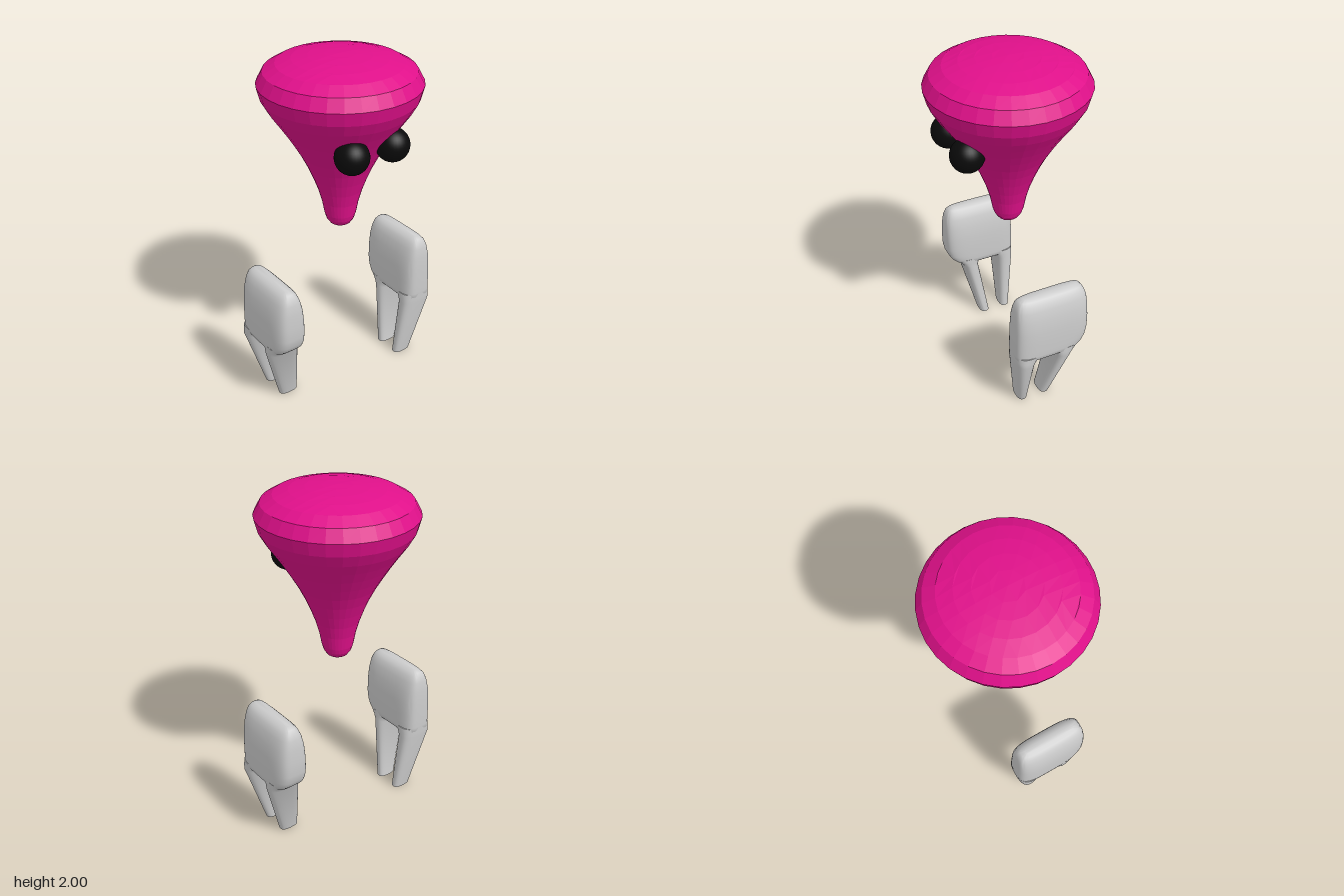
import * as THREE from 'three';
import { toCreasedNormals } from 'three/addons/utils/BufferGeometryUtils.js';

const grey = new THREE.MeshStandardMaterial({ color: 0xcccccc });
const pink = new THREE.MeshStandardMaterial({ color: 0xe0108a, flatShading: true });
const black = new THREE.MeshStandardMaterial({ color: 0x0a0a0a });

function addMesh(parent, name, geometry, material) {
  const mesh = new THREE.Mesh(geometry, material);
  mesh.name = name;
  parent.add(mesh);
  return mesh;
}

// Skin rounded-rectangle rings [y, x0, x1, z0, z1], listed from top to bottom, closed at both ends.
function loft(rings, power, sides = 32) {
  const pos = [], index = [];
  const bend = (v) => Math.sign(v) * Math.pow(Math.abs(v), power);
  for (const [y, x0, x1, z0, z1] of rings) {
    for (let i = 0; i < sides; i++) {
      const t = (i / sides) * Math.PI * 2;
      pos.push((x0 + x1) / 2 + bend(Math.cos(t)) * (x1 - x0) / 2, y,
        (z0 + z1) / 2 + bend(Math.sin(t)) * (z1 - z0) / 2);
    }
  }
  const last = rings.length - 1;
  for (const r of [0, last]) {
    const [y, x0, x1, z0, z1] = rings[r];
    pos.push((x0 + x1) / 2, y, (z0 + z1) / 2);
  }
  const top = rings.length * sides;
  for (let i = 0; i < sides; i++) {
    const j = (i + 1) % sides;
    for (let r = 0; r < last; r++) {
      const a = r * sides + i, b = r * sides + j;
      index.push(a, b, a + sides, b, b + sides, a + sides);
    }
    index.push(top, j, i, top + 1, last * sides + i, last * sides + j);
  }
  const g = new THREE.BufferGeometry();
  g.setAttribute('position', new THREE.Float32BufferAttribute(pos, 3));
  g.setIndex(index);
  return toCreasedNormals(g, 0.7);
}

// Wrap a gridded box around a turned profile, so that the crown keeps a square grid of facets.
function headGeometry() {
  const profile = new THREE.CatmullRomCurve3([
    [0, 1], [0.045, 1.012], [0.077, 1.05], [0.112, 1.2], [0.19, 1.4], [0.3, 1.59], [0.4, 1.74],
    [0.438, 1.83], [0.425, 1.885], [0.375, 1.935], [0.26, 1.975], [0.13, 1.994], [0, 2],
  ].map(([r, y]) => new THREE.Vector3(r, y, 0)));
  const low = 0.09, high = 0.77;
  const g = new THREE.BoxGeometry(2, 2, 2, 8, 13, 8);
  const p = g.attributes.position;
  for (let i = 0; i < p.count; i++) {
    const u = p.getX(i), v = p.getY(i), w = p.getZ(i);
    const m = Math.max(Math.abs(u), Math.abs(w));
    let s = low + (high - low) * (v + 1) / 2;
    if (v < -0.999) s = low * m;
    if (v > 0.999) s = 1 - (1 - high) * m;
    let angle = 0;
    if (m > 0) {
      angle = Math.abs(u) >= Math.abs(w)
        ? Math.PI / 4 * w / u + (u < 0 ? Math.PI : 0)
        : Math.PI / 2 - Math.PI / 4 * u / w + (w < 0 ? Math.PI : 0);
    }
    const q = profile.getPointAt(THREE.MathUtils.clamp(s, 0, 1));
    const r = m > 0 ? q.x : 0;
    p.setXYZ(i, r * Math.cos(angle), q.y, r * Math.sin(angle));
  }
  g.computeVertexNormals();
  return g;
}

// A slab-like block standing on two tapered legs that lean inward.
function makeLegBlock(name) {
  const block = new THREE.Group();
  block.name = name;
  const mid = 0.467;
  const body = [
    [0.815, -0.155, 0.16, 0.018], [0.805, -0.18, 0.185, 0.04], [0.785, -0.195, 0.2, 0.058],
    [0.75, -0.205, 0.212, 0.073], [0.69, -0.212, 0.219, 0.088], [0.61, -0.215, 0.222, 0.096],
    [0.53, -0.217, 0.221, 0.098], [0.48, -0.217, 0.212, 0.098], [0.445, -0.217, 0.194, 0.098],
    [0.42, -0.216, 0.168, 0.096], [0.408, -0.208, 0.14, 0.085],
  ].map(([y, x0, x1, h]) => [y, x0, x1, mid - h, mid + h]);
  addMesh(block, 'body', loft(body, 0.5, 48), grey);

  addMesh(block, 'outerLeg', loft([
    [0.44, -0.217, -0.06, 0.37, 0.564], [0.405, -0.216, -0.085, 0.37, 0.564],
    [0.375, -0.215, -0.102, 0.369, 0.563], [0, -0.165, -0.105, 0.338, 0.452],
  ], 0.75), grey);
  addMesh(block, 'innerLeg', loft([
    [0.44, -0.015, 0.18, 0.37, 0.564], [0.405, 0.008, 0.145, 0.37, 0.564],
    [0.375, 0.022, 0.122, 0.369, 0.563], [0, -0.025, 0.037, 0.338, 0.452],
  ], 0.75), grey);
  return block;
}

export function createModel() {
  const model = new THREE.Group();
  model.name = 'floatingHeadFigure';

  addMesh(model, 'head', headGeometry(), pink);

  // Eyes, half sunk into the +x side of the head
  for (const [name, z] of [['frontEye', 0.137], ['backEye', -0.125]]) {
    addMesh(model, name, new THREE.SphereGeometry(0.092, 32, 20), black).position.set(0.284, 1.562, z);
  }

  // Leg blocks, the back one turned half round
  model.add(makeLegBlock('frontLegs'));
  const back = makeLegBlock('backLegs');
  back.rotation.y = Math.PI;
  back.position.x = -0.028;
  model.add(back);
  return model;
}
